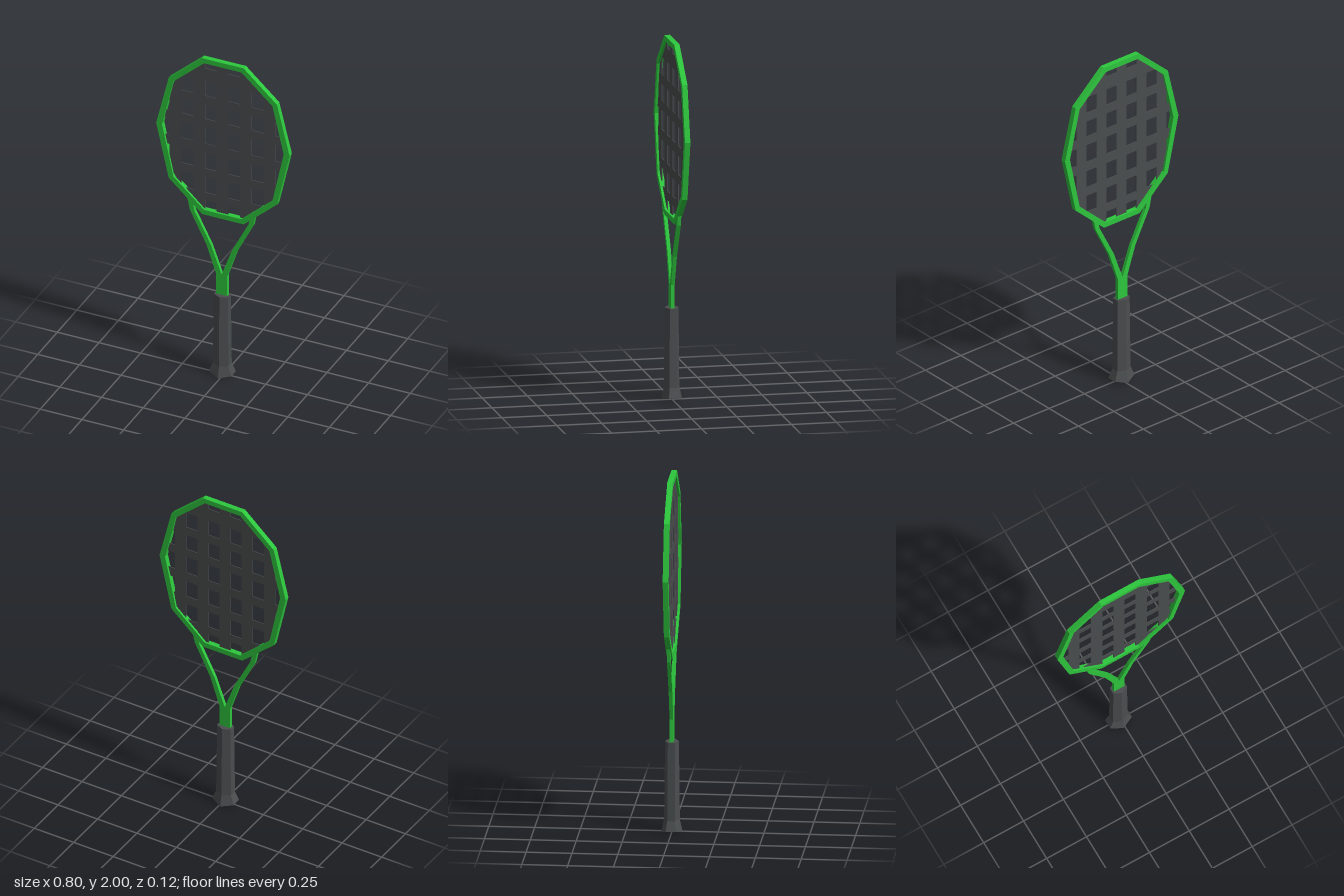
import * as THREE from 'three';

const green = new THREE.MeshStandardMaterial({ color: 0x2dc63d });
green.name = 'green frame';
const grey = new THREE.MeshStandardMaterial({ color: 0x4a4d4e });
grey.name = 'dark grey';

const toPoints = (list) => list.map(([x, y]) => new THREE.Vector2(x, y));

// Flat plate of the given outline, centred on z = 0
function plate(name, outline, depth, material, hole) {
  const shape = new THREE.Shape(toPoints(outline));
  if (hole) shape.holes.push(new THREE.Path(toPoints(hole)));
  const geometry = new THREE.ExtrudeGeometry(shape, { depth, bevelEnabled: false });
  geometry.translate(0, 0, -depth / 2);
  const mesh = new THREE.Mesh(geometry, material);
  mesh.name = name;
  return mesh;
}

// Closes a right-hand outline by mirroring it to the left
const mirrored = (half) => [...half, ...half.map(([x, y]) => [-x, y]).reverse()];

// Straight-line lookup of b at a, for rows [a, b] with rising a
function lookup(rows, a) {
  for (let i = 1; i < rows.length; i++) {
    const [a0, b0] = rows[i - 1], [a1, b1] = rows[i];
    if (a <= a1) return b0 + (b1 - b0) * (a - a0) / (a1 - a0);
  }
  return rows[rows.length - 1][1];
}

export function createModel() {
  const racket = new THREE.Group();
  racket.name = 'racket';

  // Ten-sided head frame
  const outer = mirrored([[0.125, 1], [0.325, 1.18], [0.4, 1.513], [0.325, 1.82], [0.125, 2]]);
  const inner = mirrored([[0.112, 1.03], [0.297, 1.196], [0.365, 1.513], [0.297, 1.804], [0.112, 1.97]]);
  racket.add(plate('headFrame', outer, 0.03, green, inner));

  // Strings, with ends cut to run into the middle of the frame
  const strings = new THREE.Group();
  strings.name = 'strings';
  const halfWidth = [[1.015, 0.118], [1.188, 0.311], [1.513, 0.383], [1.812, 0.311], [1.985, 0.118]];
  const upper = [[0, 1.985], [0.118, 1.985], [0.311, 1.812], [0.383, 1.513]];
  const lower = [[0, 1.015], [0.118, 1.015], [0.311, 1.188], [0.383, 1.513]];
  for (const x of [-0.29, -0.148, -0.008, 0.132, 0.275]) {
    const a = x - 0.035, b = x + 0.035;
    strings.add(plate('verticalString', [
      [a, lookup(lower, Math.abs(a))], [b, lookup(lower, Math.abs(b))],
      [b, lookup(upper, Math.abs(b))], [a, lookup(upper, Math.abs(a))],
    ], 0.006, grey));
  }
  for (const [a, b] of [[1.085, 1.135], [1.235, 1.288], [1.389, 1.447], [1.553, 1.606], [1.7, 1.754], [1.85, 1.93]]) {
    const wa = lookup(halfWidth, a), wb = lookup(halfWidth, b);
    strings.add(plate('horizontalString', [[-wa, a], [wa, a], [wb, b], [-wb, b]], 0.004, grey));
  }
  racket.add(strings);

  // Forked throat: two mirrored prongs meeting above the handle
  const axis = -0.01;
  const prong = [[0, 0.48], [0.034, 0.48], [0.034, 0.64], [0.091, 0.81],
    [0.19, 1.005], [0.208, 1.09], [0.176, 1.075], [0.162, 1.005], [0.062, 0.81], [0, 0.64]];
  for (const side of [1, -1]) {
    const outline = prong.map(([x, y]) => [axis + side * x, y]);
    racket.add(plate(side > 0 ? 'leftProng' : 'rightProng', outline, 0.02, green));
  }

  // Six-sided handle with a flared butt and ridged base
  const levels = [
    { y: 0, x: 0.0785, z: 0.058 },
    { y: 0.07, x: 0.054, z: 0.043 },
    { y: 0.51, x: 0.049, z: 0.038 },
  ];
  const grip = new THREE.CylinderGeometry(1, 1, 2, 6, 2).toNonIndexed();
  const p = grip.attributes.position;
  for (let i = 0; i < p.count; i++) {
    const level = levels[Math.round(p.getY(i)) + 1];
    const lift = level.y === 0 && Math.abs(p.getX(i)) > 0.1 ? 0.016 : 0;
    p.setXYZ(i, axis + p.getX(i) * level.x, level.y + lift, p.getZ(i) * level.z);
  }
  grip.computeVertexNormals();
  const handle = new THREE.Mesh(grip, grey);
  handle.name = 'handle';
  racket.add(handle);

  return racket;
}
